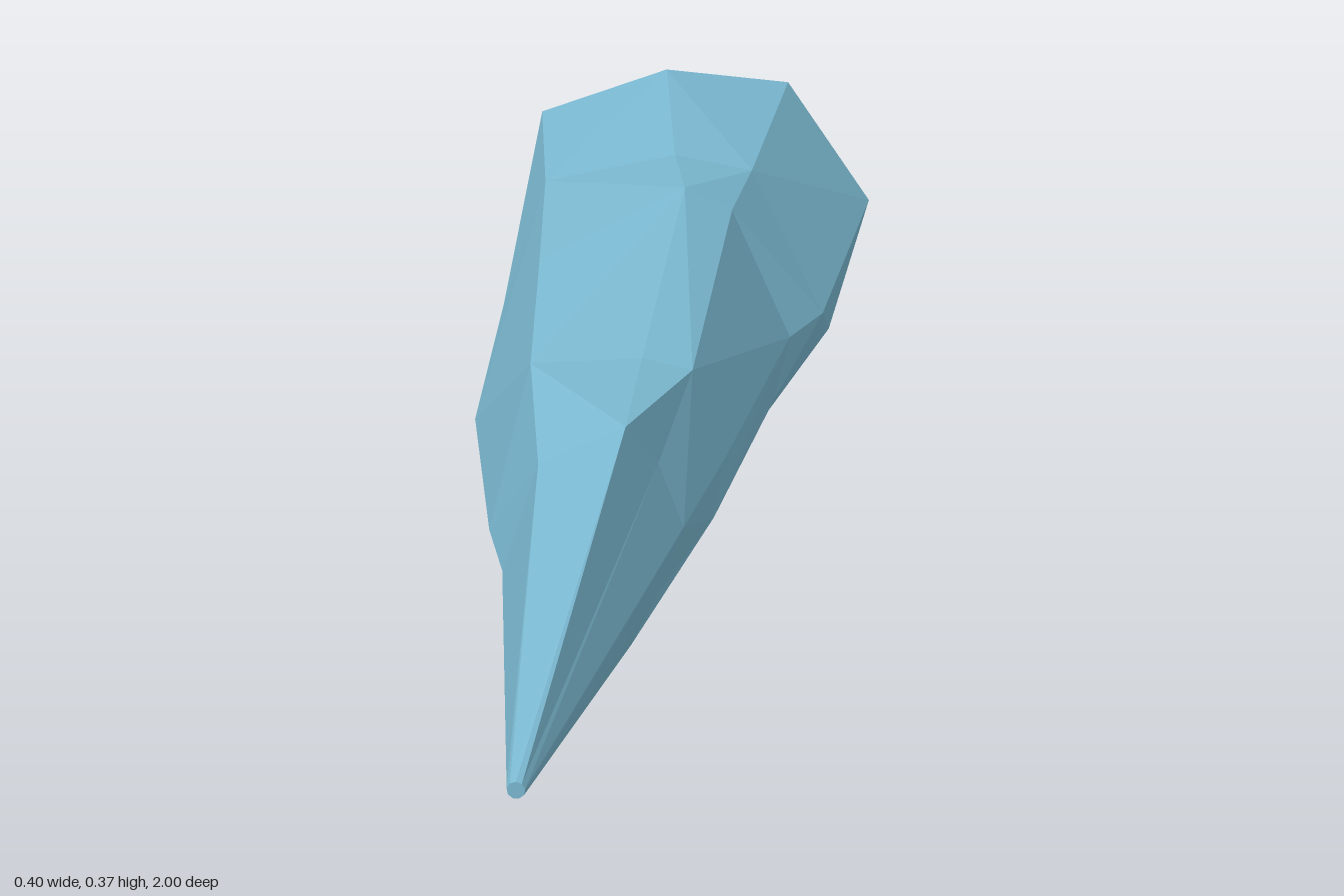
import * as THREE from 'three';

// Long facet ridges, clockwise seen from the front; each runs front to back as [x, y, z]
const RIDGES = [
  [[0.025, 0.315, 0.46], [0.02, 0.311, 0.26], [0.025, 0.362, -0.13], [0, 0.35, -0.28], [-0.035, 0.37, -0.54]], // top
  [[0.05, 0.255, 0.4], [0.07, 0.3, 0.26], [0.075, 0.335, -0.14], [0.085, 0.335, -0.28], [0.1, 0.335, -0.62]], // upper right
  [[0.075, 0.19, 0.4], [0.1, 0.2, 0.25], [0.14, 0.2, -0.12], [0.17, 0.2, -0.2], [0.2, 0.213, -0.56]], // right
  [[0.05, 0.12, 0.4], [0.09, 0.135, 0.24], [0.125, 0.135, -0.1], [0.165, 0.11, -0.4], [0.155, 0.12, -0.62]], // lower right
  [[0.03, 0.09, 0.46], [0.04, 0.075, 0.25], [0.05, 0.045, 0], [0.08, 0.03, -0.3], [0.1, 0.033, -0.65]], // bottom right
  [[-0.03, 0.095, 0.46], [-0.03, 0.07, 0.25], [-0.03, 0.045, 0], [0, 0, -0.2], [-0.01, 0.035, -0.62]], // bottom
  [[-0.07, 0.11, 0.45], [-0.1, 0.08, 0.25], [-0.14, 0.055, 0], [-0.145, 0.022, -0.38], [-0.1, 0.07, -0.62]], // bottom left
  [[-0.1, 0.145, 0.42], [-0.125, 0.15, 0.33], [-0.2, 0.1, -0.1], [-0.195, 0.16, -0.3], [-0.185, 0.24, -0.54]], // left
  [[-0.06, 0.27, 0.45], [-0.09, 0.305, 0.27], [-0.115, 0.32, 0], [-0.14, 0.325, -0.25], [-0.18, 0.315, -0.54]], // upper left
];

function shardGeometry() {
  const n = RIDGES.length;
  const frontTip = new THREE.Vector3(-0.01, 0.193, 1);
  const backTip = new THREE.Vector3(-0.017, 0.203, -1);
  const around = (tip, i) => {
    const a = (i / n) * Math.PI * 2;
    return tip.clone().add(new THREE.Vector3(Math.sin(a) * 0.008, Math.cos(a) * 0.008, 0));
  };
  // Every ridge starts and ends on a tiny blunt tip
  const lines = RIDGES.map((ridge, i) => [
    around(frontTip, i), ...ridge.map((p) => new THREE.Vector3(...p)), around(backTip, i),
  ]);

  const positions = [];
  const tri = (...pts) => pts.forEach((p) => positions.push(p.x, p.y, p.z));
  for (let i = 0; i < n; i++) {
    const here = lines[i], next = lines[(i + 1) % n];
    const last = here.length - 1;
    for (let j = 0; j < last; j++) {
      const a = here[j], b = next[j], c = next[j + 1], d = here[j + 1];
      // Split each facet along the diagonal that bulges outward
      const normal = b.clone().sub(a).cross(c.clone().sub(a));
      if (normal.dot(d.clone().sub(a)) <= 0) {
        tri(a, b, c);
        tri(a, c, d);
      } else {
        tri(a, b, d);
        tri(b, c, d);
      }
    }
    // Blunt ends
    tri(frontTip, next[0], here[0]);
    tri(backTip, here[last], next[last]);
  }
  const geometry = new THREE.BufferGeometry();
  geometry.setAttribute('position', new THREE.Float32BufferAttribute(positions, 3));
  geometry.computeVertexNormals();
  return geometry;
}

export function createModel() {
  const group = new THREE.Group();
  group.name = 'crystalShard';
  const material = new THREE.MeshStandardMaterial({ color: 0x7ab8d0, flatShading: true });
  const shard = new THREE.Mesh(shardGeometry(), material);
  shard.name = 'shard';
  group.add(shard);
  return group;
}
